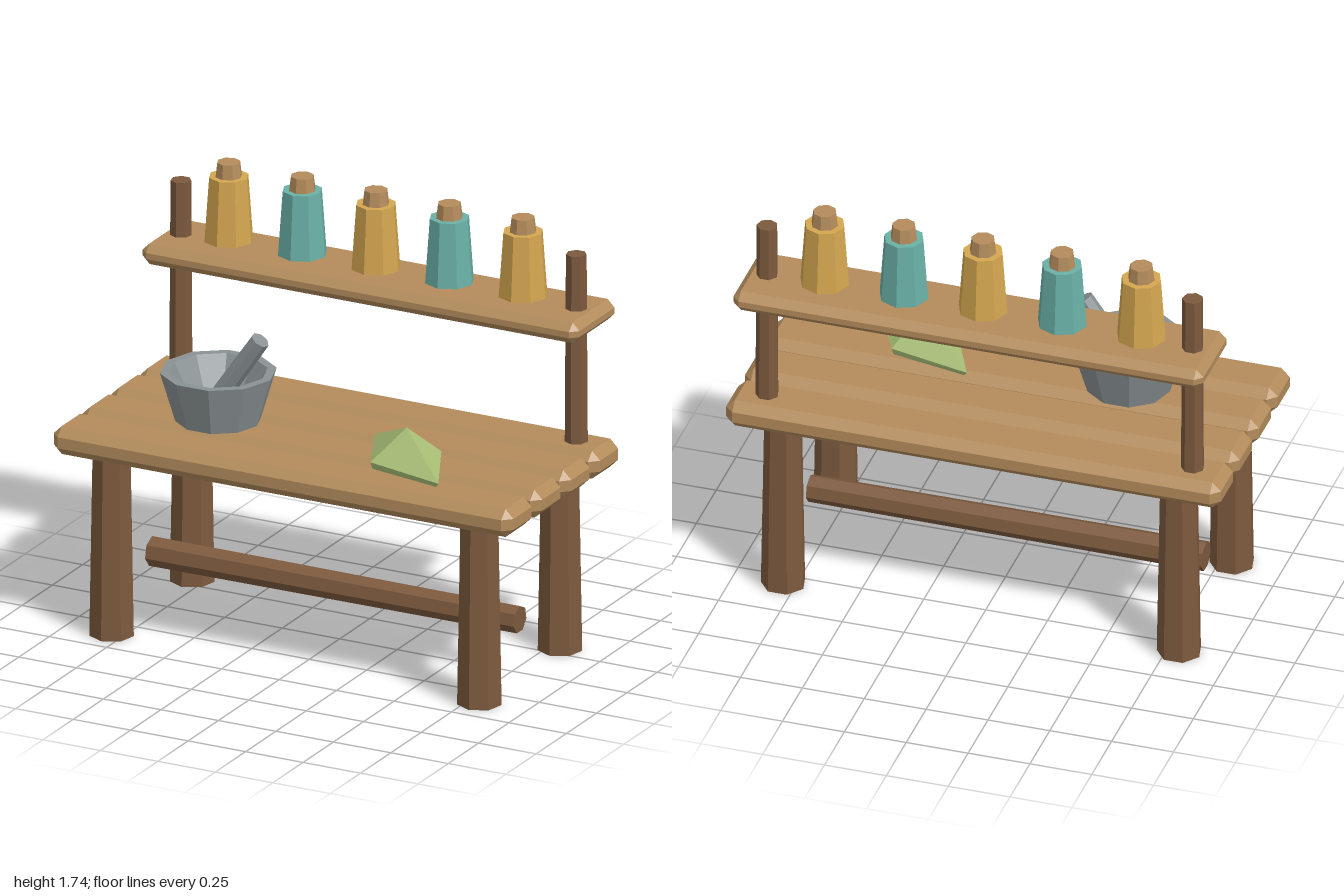
import * as THREE from 'three';
import { ConvexGeometry } from 'three/addons/geometries/ConvexGeometry.js';

const mat = (name, color) => new THREE.MeshStandardMaterial({ name, color, flatShading: true });

// Box with every edge and corner cut off
function chamferBox(w, h, d, c) {
  const pts = [];
  for (const x of [-1, 1]) for (const y of [-1, 1]) for (const z of [-1, 1]) {
    const [X, Y, Z] = [x * w / 2, y * h / 2, z * d / 2];
    pts.push(
      new THREE.Vector3(X, Y - y * c, Z - z * c),
      new THREE.Vector3(X - x * c, Y, Z - z * c),
      new THREE.Vector3(X - x * c, Y - y * c, Z));
  }
  return new ConvexGeometry(pts);
}

export function createModel() {
  const group = new THREE.Group();
  const wood = mat('light wood', 0xb48c5c);
  const darkWood = mat('dark wood', 0x7d5a3e);
  const ochre = mat('ochre glaze', 0xd4a650);
  const teal = mat('teal glaze', 0x6ab0a6);
  const stone = mat('grey stone', 0x8a9294);
  const leafGreen = mat('leaf green', 0xa9c077);

  const add = (name, geometry, material, x = 0, y = 0, z = 0) => {
    const mesh = new THREE.Mesh(geometry, material);
    mesh.name = name;
    mesh.position.set(x, y, z);
    group.add(mesh);
    return mesh;
  };
  // Upright tapered prism between two heights
  const prism = (name, material, x, z, y0, y1, r0, r1, sides) =>
    add(name, new THREE.CylinderGeometry(r1, r0, y1 - y0, sides), material, x, (y0 + y1) / 2, z);

  // Table top planks and upper shelf
  for (const z of [0.387, 0.15, -0.09, -0.327])
    add('tablePlank', chamferBox(2, 0.115, 0.22, 0.035), wood, 0, 0.803, z);
  add('shelf', chamferBox(1.9, 0.085, 0.35, 0.03), wood, 0, 1.363, -0.322);

  // Legs and shelf posts
  for (const side of [-1, 1]) {
    prism('frontLeg', darkWood, side * 0.8, 0.363, 0, 0.76, 0.088, 0.075, 7);
    prism('backLeg', darkWood, side * 0.8, -0.302, 0, 0.76, 0.088, 0.075, 7);
    prism('shelfPost', darkWood, side * 0.86, -0.322, 0.8, 1.63, 0.046, 0.041, 7);
  }

  // Stretcher rail between the legs
  const railGeometry = new THREE.CylinderGeometry(0.06, 0.055, 1.6, 7);
  railGeometry.rotateY(Math.PI / 2).rotateZ(Math.PI / 2);
  add('stretcherRail', railGeometry, darkWood, 0, 0.232, 0.03);

  // Jars with stoppers
  for (let i = 0; i < 5; i++) {
    const x = -0.653 + i * 0.32;
    prism('jar', i % 2 ? teal : ochre, x, -0.323, 1.42, 1.682, 0.098, 0.079, 8);
    prism('jarStopper', wood, x, -0.323, 1.675, 1.74, 0.054, 0.046, 8);
  }

  // Mortar bowl with a hollow inside
  const bowl = [[0, 0.875], [0.167, 0.875], [0.227, 1.075], [0.192, 1.075], [0.11, 0.925], [0, 0.925]]
    .map(([r, y]) => new THREE.Vector2(r, y));
  add('mortar', new THREE.LatheGeometry(bowl, 10, Math.PI / 10), stone, -0.45, 0, 0.148);

  // Pestle leaning in the bowl
  const foot = new THREE.Vector3(-0.463, 0.945, 0.148);
  const head = new THREE.Vector3(-0.267, 1.232, 0.148);
  const axis = head.clone().sub(foot);
  const pestle = add('pestle', new THREE.CylinderGeometry(0.038, 0.042, axis.length(), 7), stone);
  pestle.position.copy(foot).add(head).multiplyScalar(0.5);
  pestle.quaternion.setFromUnitVectors(new THREE.Vector3(0, 1, 0), axis.normalize());

  // Folded leaf: a peak over a thin diamond rim
  const peak = new THREE.Vector3(0.4, 1.01, 0.205);
  const rim = [[0.165, 0.882, 0.025], [0.49, 0.89, 0.09], [0.635, 0.882, 0.39], [0.305, 0.89, 0.325]]
    .map(p => new THREE.Vector3(...p));
  const base = rim.map(p => p.clone().lerp(peak, 0.06).setY(0.862));
  add('leaf', new ConvexGeometry([peak, ...rim, ...base]), leafGreen);

  return group;
}
